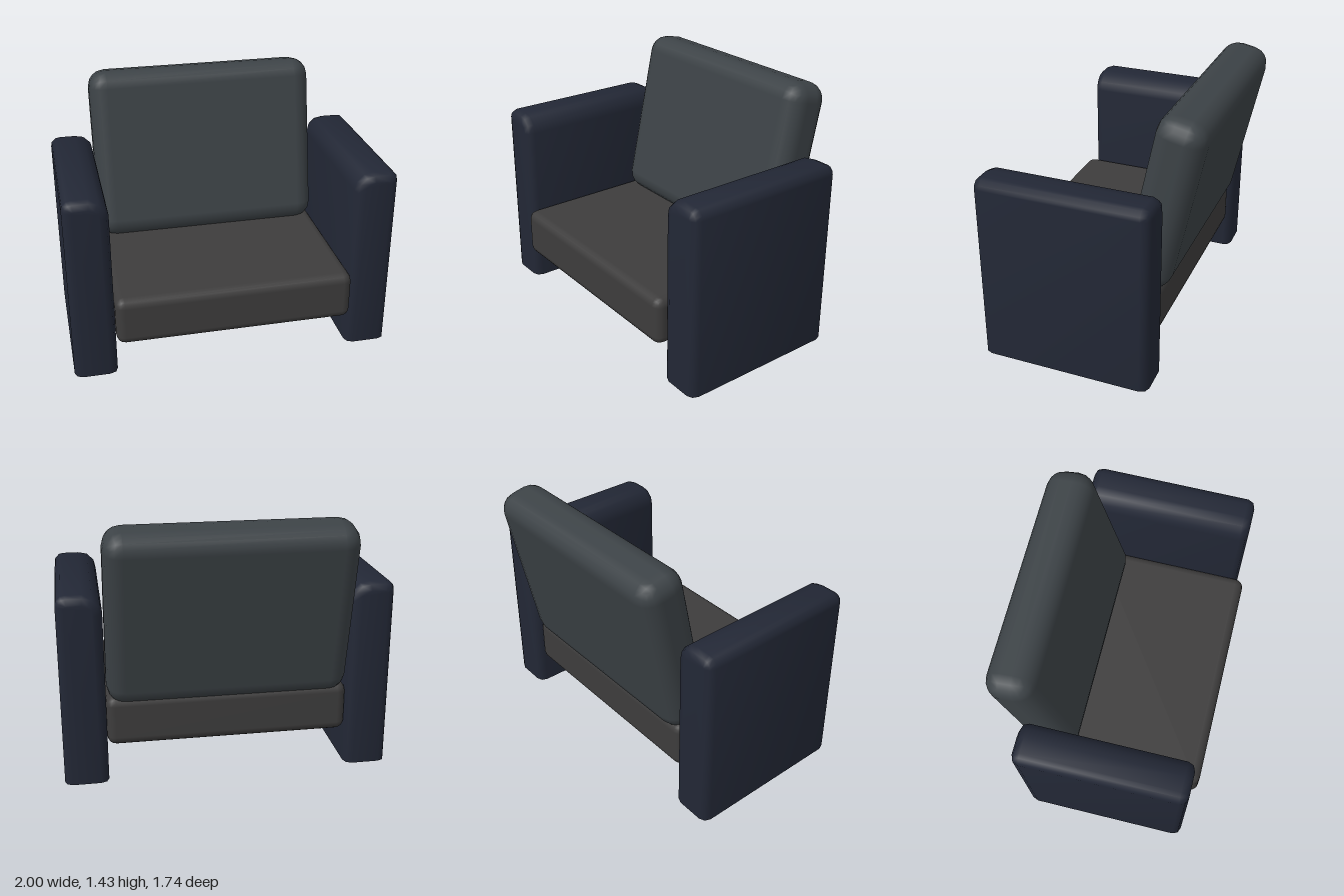
import * as THREE from 'three';
import { RoundedBoxGeometry } from 'three/addons/geometries/RoundedBoxGeometry.js';
import { toCreasedNormals } from 'three/addons/utils/BufferGeometryUtils.js';

const mat = (color) => new THREE.MeshStandardMaterial({ color });

// Arm panel: flat foot, softly rounded inner top edge, tighter outer top edge
function armGeometry(side) {
  const bevel = 0.045, inner = 0.665 + bevel, outer = 0.905 - bevel;
  const top = 1.065 - bevel, half = 0.475, r = 0.06, q = 0.012;
  const s = new THREE.Shape();
  s.moveTo(side * inner, -0.2);
  s.lineTo(side * outer, -0.2);
  s.lineTo(side * outer, top - q);
  s.quadraticCurveTo(side * outer, top, side * (outer - q), top);
  s.lineTo(side * (inner + r), top);
  s.quadraticCurveTo(side * inner, top, side * inner, top - r);
  s.closePath();
  const g = new THREE.ExtrudeGeometry(s, {
    depth: 2 * (half - bevel), bevelEnabled: true, bevelSize: bevel,
    bevelThickness: bevel, bevelSegments: 2, curveSegments: 3,
  });
  g.translate(0, 0, -(half - bevel));
  // Flatten the foot onto the floor
  const p = g.attributes.position;
  for (let i = 0; i < p.count; i++) p.setY(i, Math.max(0, p.getY(i)));
  return toCreasedNormals(g, 0.9);
}

export function createModel() {
  const chair = new THREE.Group();
  chair.name = 'armchair';
  const add = (name, geometry, material) => {
    const m = new THREE.Mesh(geometry, material);
    m.name = name;
    chair.add(m);
    return m;
  };

  // Arms
  const navy = mat(0x222735);
  add('leftArm', armGeometry(1), navy);
  add('rightArm', armGeometry(-1), navy);

  // Seat cushion
  add('seat', new RoundedBoxGeometry(1.33, 0.28, 0.965, 2, 0.05), mat(0x3d3c3c))
    .position.set(0, 0.34, 0.033);

  // Reclined back cushion
  const back = add('backrest', new RoundedBoxGeometry(1.32, 0.99, 0.27, 2, 0.1), mat(0x3c4246));
  back.position.set(0, 0.937, -0.437);
  back.rotation.x = -0.208;

  // The whole chair stands turned towards its right
  chair.rotation.y = -0.571;
  const model = new THREE.Group();
  model.add(chair);
  return model;
}
